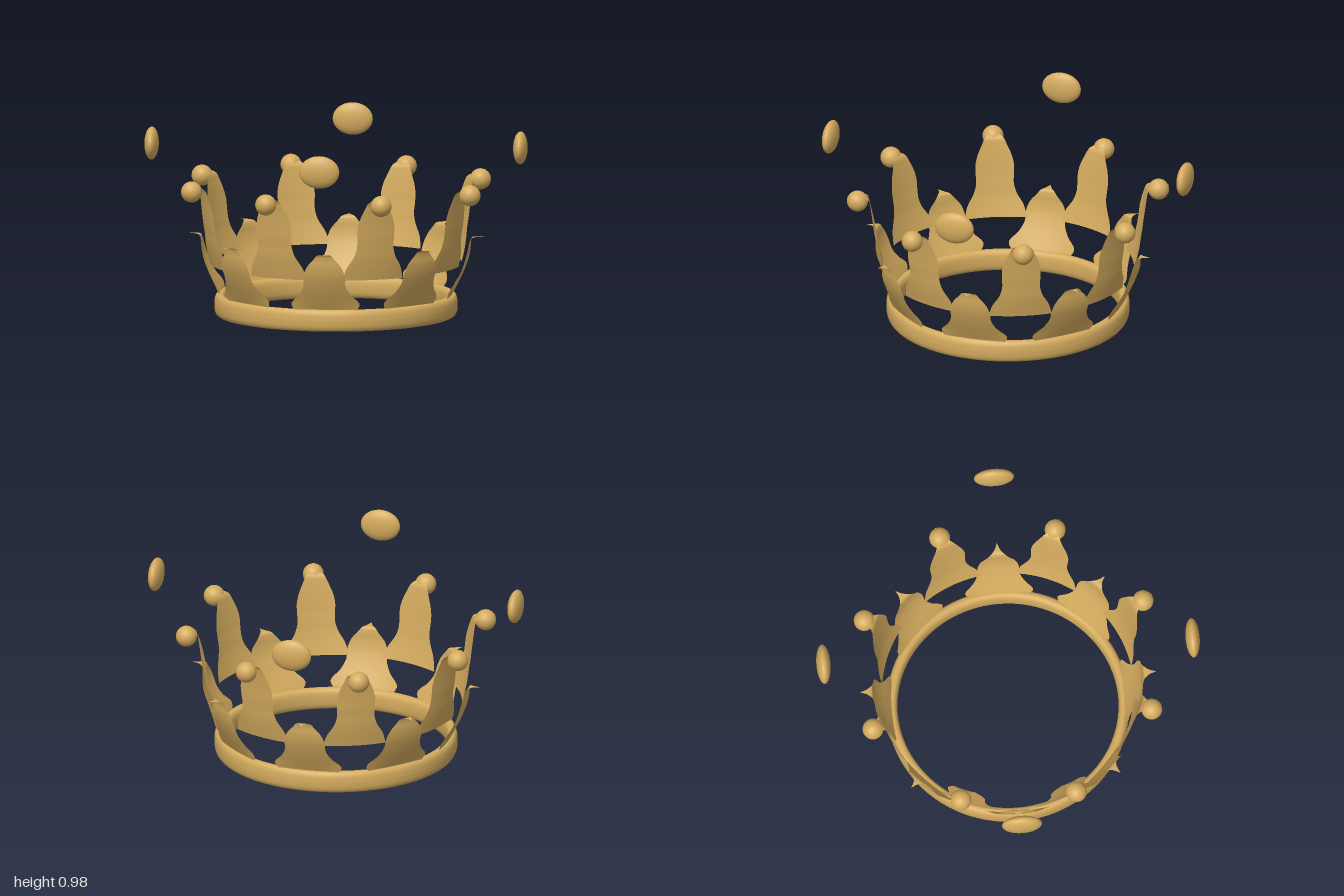
import * as THREE from 'three';

const gold = new THREE.MeshStandardMaterial({ color: 0xd4ab5e, side: THREE.DoubleSide });
gold.name = 'gold';

// Curved leaf from rows of [height, radius, half width], bowed around the ring
function leafGeometry(rows, columns = 12, steps = 44) {
  const curve = new THREE.CatmullRomCurve3(rows.map((r) => new THREE.Vector3(...r)));
  const geometry = new THREE.PlaneGeometry(2, 1, columns, steps);
  const pos = geometry.attributes.position;
  const p = new THREE.Vector3();
  for (let i = 0; i < pos.count; i++) {
    curve.getPoint(THREE.MathUtils.clamp(pos.getY(i) + 0.5, 0, 1), p);
    const x = pos.getX(i) * Math.max(p.z, 0);
    const bow = THREE.MathUtils.smoothstep(p.x, 0.02, 0.2) / 1.3;
    pos.setXYZ(i, x, p.x, p.y - bow * x * x);
  }
  geometry.computeVertexNormals();
  return geometry;
}

// Places copies of a part around the vertical axis
function around(group, count, offset, name, geometry, radius = 0, y = 0) {
  for (let i = 0; i < count; i++) {
    const angle = offset + (i / count) * Math.PI * 2;
    const mesh = new THREE.Mesh(geometry, gold);
    mesh.name = name;
    mesh.position.set(Math.sin(angle) * radius, y, Math.cos(angle) * radius);
    mesh.rotation.y = angle;
    group.add(mesh);
  }
}

export function createModel() {
  const crown = new THREE.Group();
  crown.name = 'crown';

  // Base ring with a tall rounded section
  const profile = [];
  const soft = (v) => Math.sign(v) * Math.abs(v) ** 0.75;
  for (let i = 0; i <= 24; i++) {
    const a = (i / 24) * Math.PI * 2;
    profile.push(new THREE.Vector2(0.604 + 0.029 * soft(Math.cos(a)), 0.0575 + 0.0575 * soft(Math.sin(a))));
  }
  const ring = new THREE.Mesh(new THREE.LatheGeometry(profile, 96), gold);
  ring.name = 'baseRing';
  crown.add(ring);

  // Short leaves with tips bent outward
  const shortLeaf = leafGeometry([
    [0.02, 0.585, 0.12], [0.1, 0.6, 0.155], [0.145, 0.622, 0.178], [0.2, 0.65, 0.132],
    [0.25, 0.672, 0.109], [0.3, 0.69, 0.108], [0.35, 0.7, 0.09], [0.39, 0.703, 0.056],
    [0.414, 0.71, 0.036], [0.42, 0.735, 0.014], [0.42, 0.773, 0],
  ]);
  around(crown, 8, 0, 'shortLeaf', shortLeaf);

  // Tall leaves between them, each carrying a ball
  const tallLeaf = leafGeometry([
    [0.275, 0.655, 0.165], [0.34, 0.672, 0.147], [0.4, 0.685, 0.113], [0.45, 0.692, 0.099],
    [0.5, 0.7, 0.1], [0.55, 0.706, 0.101], [0.6, 0.713, 0.09], [0.65, 0.721, 0.069],
    [0.69, 0.731, 0.05], [0.706, 0.755, 0.03], [0.705, 0.842, 0],
  ]);
  around(crown, 8, Math.PI / 8, 'tallLeaf', tallLeaf);
  around(crown, 8, Math.PI / 8, 'ball', new THREE.SphereGeometry(0.055, 24, 16), 0.787, 0.68);

  // Floating oval gems
  const gem = new THREE.SphereGeometry(1, 32, 20).scale(0.105, 0.085, 0.037);
  around(crown, 4, 0, 'gem', gem, 0.963, 0.89);

  return crown;
}
